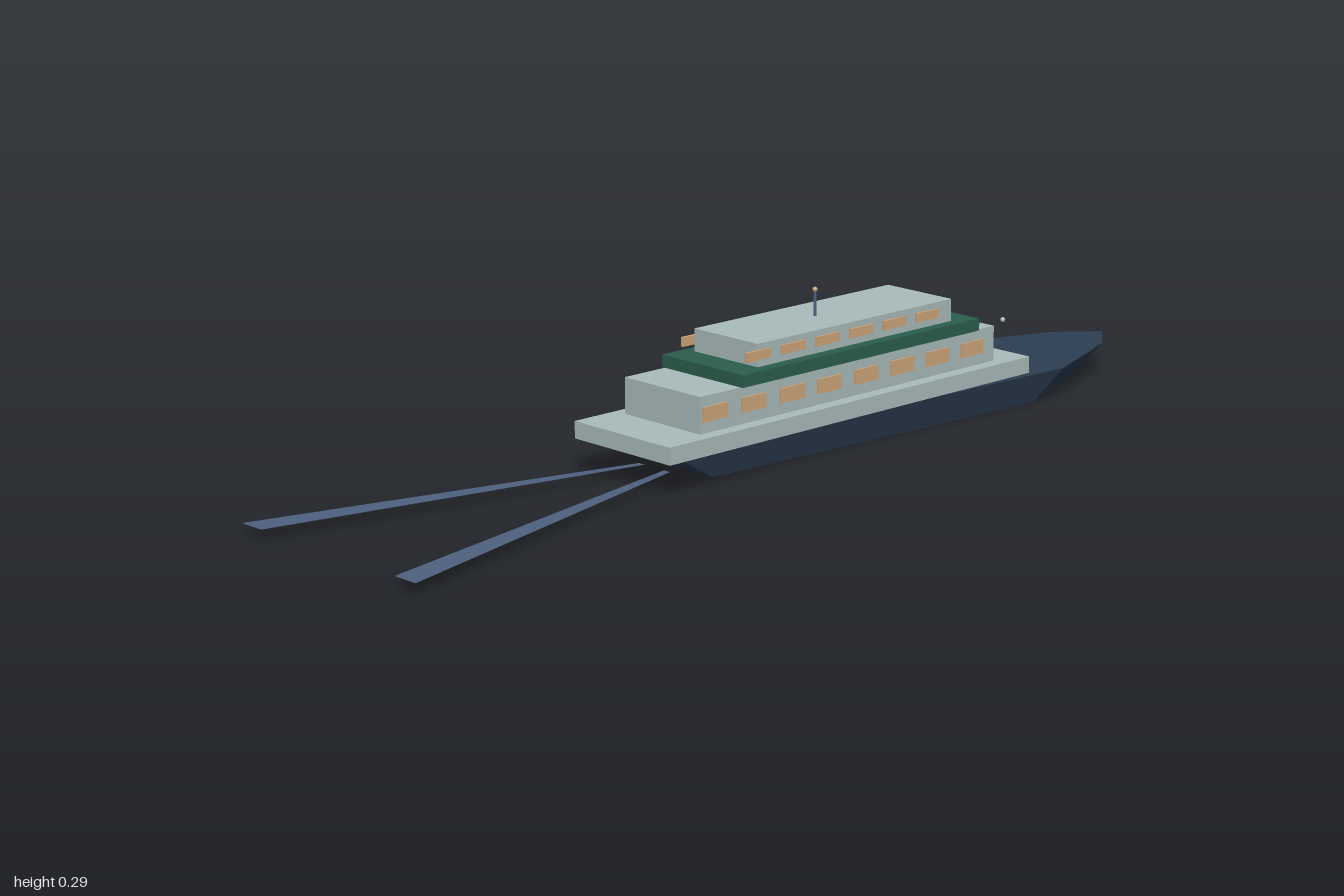
import * as THREE from 'three';

const mat = (name, color, extra = {}) => {
  const m = new THREE.MeshStandardMaterial({ color, ...extra });
  m.name = name;
  return m;
};

export function createModel() {
  const ship = new THREE.Group();
  ship.name = 'riverShip';
  const navy = mat('navy', 0x2c3e52);
  const paleGrey = mat('paleGrey', 0xa9bcbb);
  const green = mat('green', 0x2b5e4d);
  const amber = mat('amber', 0xcfa57a);
  const slate = mat('slateBlue', 0x4d617e, { side: THREE.DoubleSide });

  const add = (name, geometry, material, x = 0, y = 0, z = 0) => {
    const mesh = new THREE.Mesh(geometry, material);
    mesh.name = name;
    mesh.position.set(x, y, z);
    ship.add(mesh);
    return mesh;
  };
  // Box given by its extents in x and y and its half width in z
  const block = (name, x0, x1, y0, y1, halfZ, material) =>
    add(name, new THREE.BoxGeometry(x1 - x0, y1 - y0, halfZ * 2), material,
      (x0 + x1) / 2, (y0 + y1) / 2, 0);

  // Hull: pointed plan, drawn in towards the keel
  const side = [[-0.28, 0.085], [0.71, 0.147], [0.92, 0.068]];
  const outline = [
    ...side.map(([x, z]) => new THREE.Vector2(x, -z)),
    new THREE.Vector2(1, 0),
    ...side.slice().reverse().map(([x, z]) => new THREE.Vector2(x, z)),
  ];
  const hull = new THREE.ExtrudeGeometry(new THREE.Shape(outline),
    { depth: 0.064, bevelEnabled: false });
  hull.rotateX(-Math.PI / 2);
  const p = hull.attributes.position;
  for (let i = 0; i < p.count; i++) {
    if (p.getY(i) < 0.01) {
      p.setX(i, 0.36 + (p.getX(i) - 0.36) * 0.83);
      p.setZ(i, p.getZ(i) * 0.83);
    }
  }
  hull.computeVertexNormals();
  add('hull', hull, navy);

  // Stacked decks
  block('mainDeck', -0.33, 0.63, 0.065, 0.098, 0.128, paleGrey);
  block('lowerCabin', -0.23, 0.555, 0.098, 0.168, 0.101, paleGrey);
  block('greenDeck', -0.13, 0.505, 0.168, 0.192, 0.108, green);
  block('upperCabin', -0.07, 0.45, 0.192, 0.236, 0.084, paleGrey);

  // Rows of side windows
  const windowRow = (name, count, x0, step, y, z, height) => {
    const geometry = new THREE.BoxGeometry(0.062, height, 0.006);
    for (let i = 0; i < count; i++) {
      for (const s of [1, -1]) add(name, geometry, amber, x0 + i * step, y, s * z);
    }
  };
  windowRow('lowerWindow', 8, -0.195, 0.098, 0.134, 0.102, 0.028);
  windowRow('upperWindow', 6, -0.07, 0.09, 0.215, 0.085, 0.018);

  // Wide window facing the bow
  add('bowWindow', new THREE.BoxGeometry(0.006, 0.035, 0.184), navy, 0.557, 0.136, 0);

  // Mast with lamp, and one lamp on each side
  add('mast', new THREE.CylinderGeometry(0.003, 0.003, 0.052, 8), slate, 0.163, 0.26, 0);
  const lamp = new THREE.SphereGeometry(0.005, 10, 8);
  add('mastLamp', lamp, amber, 0.163, 0.287, 0);
  add('leftLamp', lamp, paleGrey, 0.567, 0.18, 0.113);
  add('rightLamp', lamp, amber, 0.567, 0.18, -0.113);

  // Two flat wake trails spreading behind the stern
  for (const s of [1, -1]) {
    const trail = new THREE.Shape([[-0.25, 0.026], [-0.25, 0.042], [-1, 0.238], [-1, 0.183]]
      .map(([x, z]) => new THREE.Vector2(x, s * z)));
    const geometry = new THREE.ShapeGeometry(trail);
    geometry.rotateX(-Math.PI / 2);
    add(s > 0 ? 'rightWake' : 'leftWake', geometry, slate, 0, 0.02, 0);
  }
  return ship;
}
